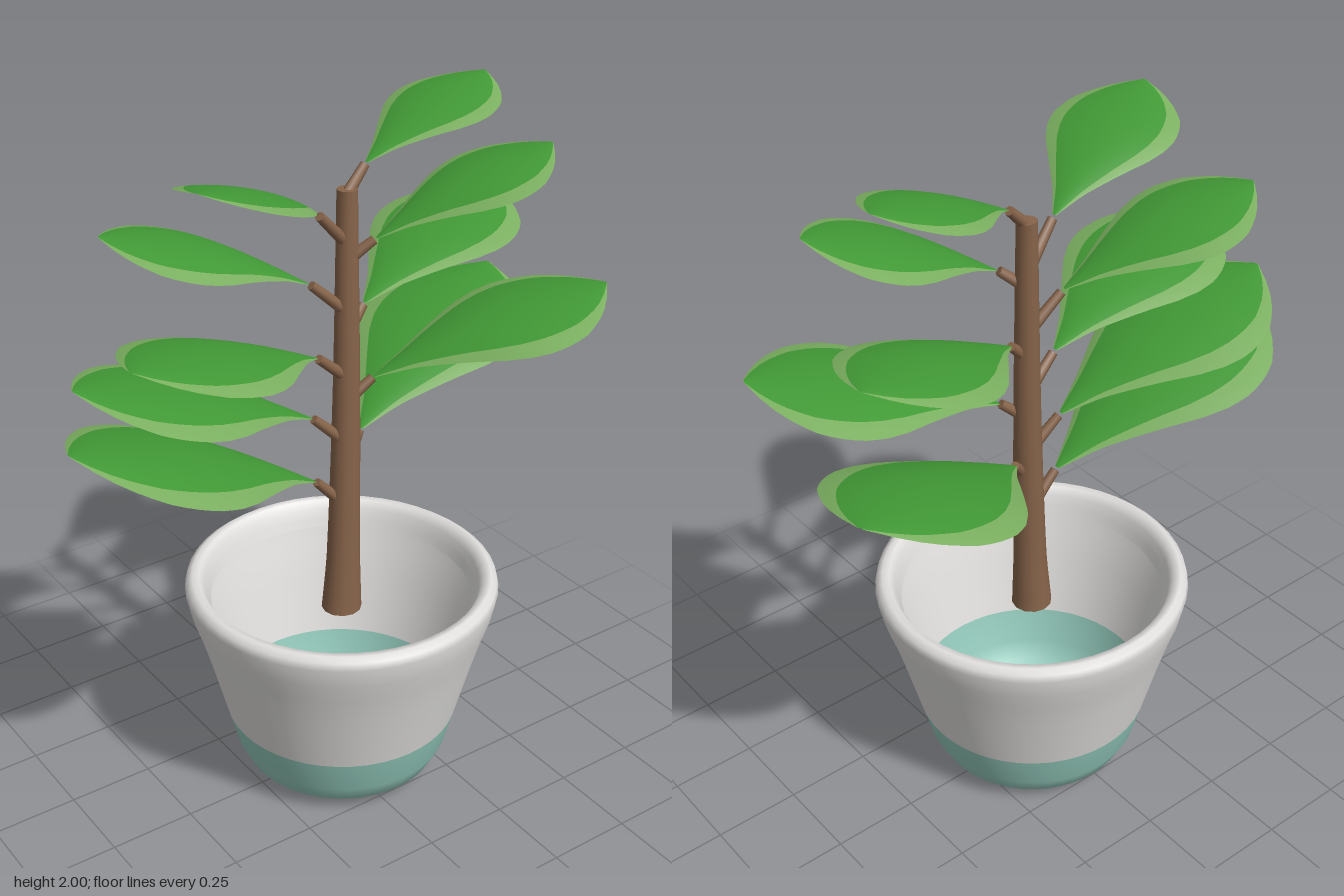
import * as THREE from 'three';

const mat = (name, color, side = THREE.FrontSide) => {
  const m = new THREE.MeshStandardMaterial({ color, side });
  m.name = name;
  return m;
};
const V = (x, y, z) => new THREE.Vector3(x, y, z);

// Half-width of a leaf along its length, relative to its widest point
const OUTLINE = [[0, 0.03], [0.15, 0.25], [0.3, 0.54], [0.45, 0.83], [0.55, 0.96], [0.64, 1],
  [0.73, 0.95], [0.8, 0.85], [0.87, 0.66], [0.94, 0.4], [1, 0.03]];
function halfWidth(t) {
  let i = 0;
  while (i < OUTLINE.length - 2 && t > OUTLINE[i + 1][0]) i++;
  const [a, b] = [OUTLINE[i], OUTLINE[i + 1]];
  return a[1] + (b[1] - a[1]) * (t - a[0]) / (b[0] - a[0]);
}

// Lengthwise strip of a leaf between side fractions u0 and u1 (-1..1), arched and cupped
function leafStrip(base, tip, u0, u1, segments) {
  const dir = tip.clone().sub(base);
  const len = dir.length();
  dir.normalize();
  const side = dir.clone().cross(V(0, 1, 0)).normalize();
  const up = side.clone().cross(dir);
  const geo = new THREE.PlaneGeometry(1, 1, segments, 24);
  const pos = geo.attributes.position;
  for (let i = 0; i < pos.count; i++) {
    const u = u0 + (pos.getX(i) + 0.5) * (u1 - u0);
    const t = pos.getY(i) + 0.5;
    const w = halfWidth(t);
    const lift = len * (0.065 * Math.sin(Math.PI * t) - 0.06 * u * u * w);
    const p = base.clone().addScaledVector(dir, t * len)
      .addScaledVector(side, u * w * len * 0.355).addScaledVector(up, lift);
    pos.setXYZ(i, p.x, p.y, p.z);
  }
  geo.computeVertexNormals();
  return geo;
}

// Tapered round stem between two points
function stem(a, b, ra, rb, material, name, sides = 10) {
  const d = b.clone().sub(a);
  const mesh = new THREE.Mesh(new THREE.CylinderGeometry(rb, ra, d.length(), sides), material);
  mesh.position.copy(a).add(b).multiplyScalar(0.5);
  mesh.quaternion.setFromUnitVectors(V(0, 1, 0), d.normalize());
  mesh.name = name;
  return mesh;
}

export function createModel() {
  const bark = mat('bark brown', 0x87644a);
  const blade = mat('leaf green', 0x429a36, THREE.DoubleSide);
  const edge = mat('leaf edge green', 0x7bb060, THREE.DoubleSide);
  const glaze = mat('pot grey', 0xe0dfdd, THREE.DoubleSide);
  const dip = mat('pot teal', 0x93c9bb, THREE.DoubleSide);

  const plant = new THREE.Group();
  plant.name = 'pottedPlant';

  // Pot: thin open shell with a rolled lip, lower part dipped in teal
  const pot = new THREE.Group();
  pot.name = 'pot';
  pot.position.set(0.033, 0, 0.005);
  const turn = (name, points, material) => {
    const g = new THREE.LatheGeometry(points.map(p => new THREE.Vector2(...p)), 48);
    const m = new THREE.Mesh(g, material);
    m.name = name;
    pot.add(m);
  };
  turn('potBase', [[0, 0], [0.205, 0.002], [0.25, 0.015], [0.287, 0.045], [0.315, 0.1], [0.343, 0.207]], dip);
  turn('potWall', [[0.343, 0.207], [0.39, 0.39], [0.418, 0.49], [0.438, 0.55], [0.452, 0.615],
    [0.447, 0.637], [0.43, 0.649], [0.41, 0.647], [0.396, 0.625], [0.386, 0.595], [0.378, 0.57]], glaze);
  plant.add(pot);

  // Trunk: slightly bent, tapering rings from a moved cylinder
  const path = new THREE.CatmullRomCurve3([V(0.031, 0.53, 0.008), V(0.038, 0.7, 0.006),
    V(0.056, 1.2, -0.008), V(0.067, 1.785, -0.024)]);
  const trunkGeo = new THREE.CylinderGeometry(0.028, 0.058, 1, 12, 12);
  const tp = trunkGeo.attributes.position;
  for (let i = 0; i < tp.count; i++) {
    const c = path.getPoint(tp.getY(i) + 0.5);
    tp.setXYZ(i, c.x + tp.getX(i), c.y, c.z + tp.getZ(i));
  }
  trunkGeo.computeVertexNormals();
  const trunk = new THREE.Mesh(trunkGeo, bark);
  trunk.name = 'trunk';
  plant.add(trunk);

  // Branches: [twig root], [leaf base], [leaf tip]
  const branches = [
    [[0.06, 1.0, 0], [0.12, 1.07, -0.03], [0.78, 1.33, -0.29]],
    [[0.06, 1.19, 0], [0.13, 1.25, 0.02], [0.75, 1.455, 0.25]],
    [[0.06, 1.38, -0.01], [0.13, 1.45, -0.03], [0.695, 1.625, -0.2]],
    [[0.06, 1.59, -0.015], [0.13, 1.65, 0.02], [0.617, 1.85, 0.14]],
    [[0.065, 1.77, -0.022], [0.135, 1.84, -0.035], [0.575, 1.995, -0.1]],
    [[0.03, 0.88, 0], [-0.055, 0.97, 0], [-0.785, 1.275, -0.005]],
    [[0.04, 1.07, 0], [-0.055, 1.16, -0.015], [-0.73, 1.41, -0.07]],
    [[0.05, 1.26, -0.005], [-0.055, 1.35, 0.01], [-0.675, 1.53, 0.14]],
    [[0.055, 1.45, -0.01], [-0.055, 1.55, -0.025], [-0.58, 1.75, -0.17]],
    [[0.06, 1.64, -0.02], [-0.05, 1.75, 0.01], [-0.495, 1.945, 0.17]],
  ];
  for (const [root, base, tip] of branches.map(b => b.map(p => V(...p)))) {
    const branch = new THREE.Group();
    branch.name = 'branch';
    // The twig stops just short of the leaf's pointed base
    branch.add(stem(root, root.clone().lerp(base, 0.93), 0.017, 0.013, bark, 'twig', 8));
    const strips = [['leafBlade', -0.76, 0.76, 10, blade],
      ['leafEdge', -1, -0.76, 3, edge], ['leafEdge', 0.76, 1, 3, edge]];
    for (const [name, u0, u1, n, material] of strips) {
      const m = new THREE.Mesh(leafStrip(base, tip, u0, u1, n), material);
      m.name = name;
      branch.add(m);
    }
    plant.add(branch);
  }
  return plant;
}
